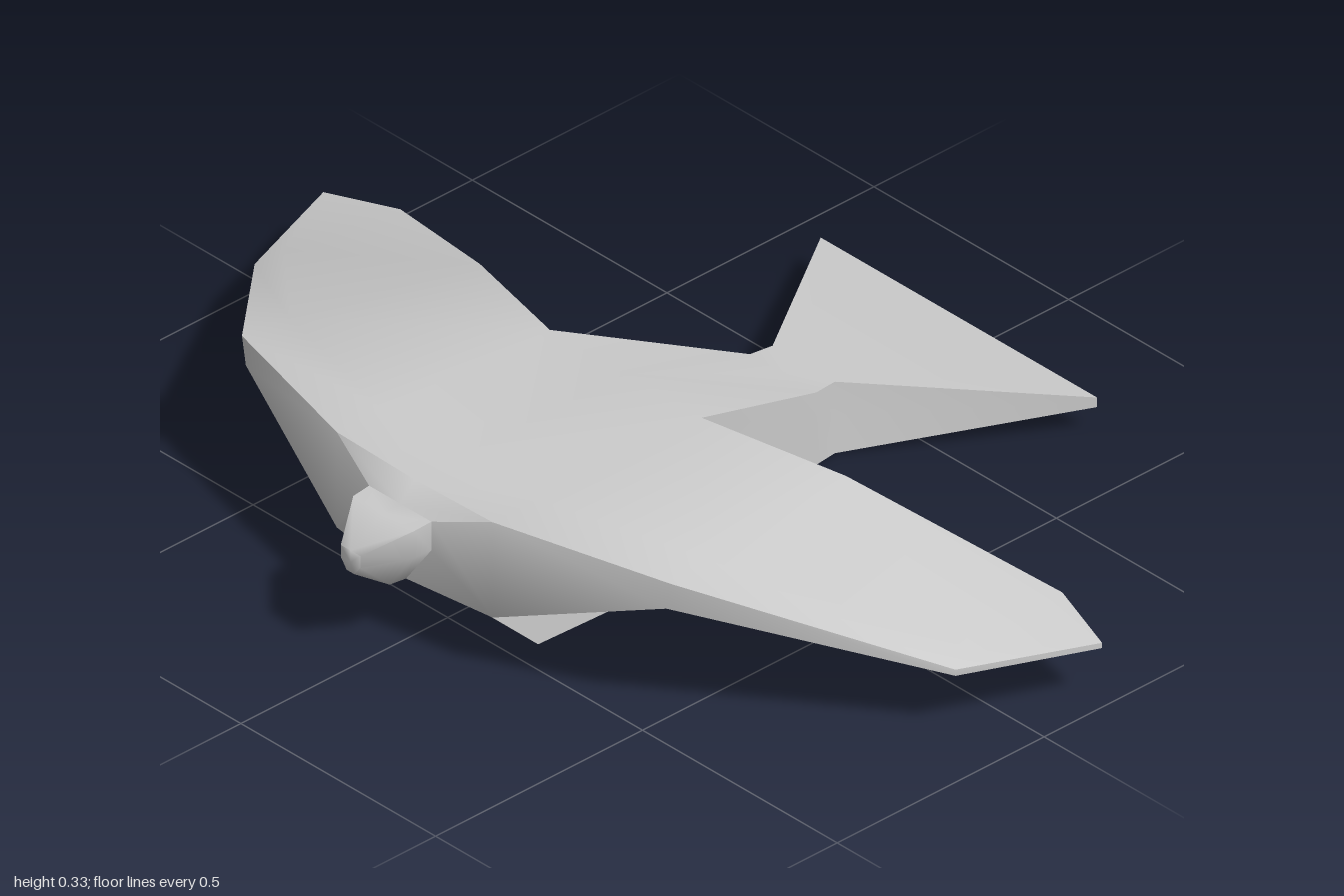
import * as THREE from 'three';
import { mergeGeometries, toCreasedNormals } from 'three/addons/utils/BufferGeometryUtils.js';

// Skin between successive cross-sections; skip(i, j) leaves a panel open
function loft(sections, { closed = false, skip = () => false } = {}) {
  const out = [];
  const tri = (a, b, c) => {
    const t = new THREE.Triangle(...[a, b, c].map(p => new THREE.Vector3(...p)));
    if (t.getArea() > 1e-7) out.push([a, b, c]);
  };
  for (let i = 0; i < sections.length - 1; i++) {
    const s = sections[i], t = sections[i + 1], n = s.length;
    for (let j = 0; j < (closed ? n : n - 1); j++) {
      if (skip(i, j)) continue;
      const k = (j + 1) % n;
      tri(s[j], s[k], t[k]);
      tri(s[j], t[k], t[j]);
    }
  }
  return out;
}

const mirror = tris => tris.map(([a, b, c]) => [a, c, b].map(([x, y, z]) => [-x, y, z]));

function toGeometry(tris) {
  const g = new THREE.BufferGeometry();
  g.setAttribute('position', new THREE.Float32BufferAttribute(tris.flat(2), 3));
  return g;
}

// Half cross-section of the body: top centre, shoulder, flank, belly edge, belly centre
const half = (z, topMid, top, w, mid, bot, wb = w) =>
  [[0, topMid, z], [w, top, z], [w, mid, z], [wb, bot, z], [0, bot, z]];
const point = (y, z) => Array.from({ length: 5 }, () => [0, y, z]);

export function createModel() {
  const neck = half(0.615, 0.29, 0.29, 0.08, 0.23, 0.14, 0.015);
  const rump = half(-0.36, 0.15, 0.15, 0.08, 0.08, 0);

  const chest = [
    half(0.58, 0.325, 0.33, 0.2, 0.13, 0.13),
    half(0.47, 0.325, 0.33, 0.2, 0.13, 0.025),
    half(0.07, 0.32, 0.32, 0.195, 0.13, 0.005),
  ];

  // Head with a short blunt beak
  const headHalf = loft([
    point(0.22, 0.735),
    half(0.735, 0.245, 0.245, 0.025, 0.22, 0.2, 0.01),
    half(0.655, 0.287, 0.287, 0.078, 0.23, 0.145, 0.015),
    neck,
  ]);

  // Body, open on its flanks where the wings join
  const bodyHalf = loft(
    [neck, ...chest, half(-0.31, 0.152, 0.152, 0.085, 0.08, 0), rump],
    { skip: (i, j) => j === 1 && (i === 1 || i === 2) },
  );

  // Fanned tail
  const tailHalf = loft([
    rump,
    half(-0.735, 0.08, 0.08, 0.355, 0.07, 0.06).map((p, i) => (i === 4 ? [0, 0.045, -0.735] : p)),
    point(0.065, -0.735),
  ]);

  // Wing: closed rings from root to tip, underside front to back, then top back to front
  const wing = loft([
    [...chest.map(s => s[2]), ...chest.map(s => s[1]).reverse()],
    [[0.54, 0.265, 0.48], [0.53, 0.272, 0.38], [0.47, 0.26, -0.02],
      [0.47, 0.288, -0.02], [0.53, 0.322, 0.38], [0.55, 0.322, 0.48]],
    [[0.9, 0.134, 0.12], [0.89, 0.136, 0.06], [0.85, 0.136, -0.185],
      [0.85, 0.15, -0.185], [0.89, 0.155, 0.06], [0.9, 0.147, 0.12]],
    [...Array(3).fill([1, 0.124, -0.14]), ...Array(3).fill([1, 0.135, -0.14])],
  ], { closed: true });

  const both = tris => [...tris, ...mirror(tris)];
  const parts = {
    head: both(headHalf),
    body: both(bodyHalf),
    tail: both(tailHalf),
    leftWing: wing,
    rightWing: mirror(wing),
  };

  // Shade all parts together so the joins stay smooth, then split them again
  const whole = toCreasedNormals(mergeGeometries(Object.values(parts).map(toGeometry)), 1.1);
  const normals = whole.getAttribute('normal').array;
  const material = new THREE.MeshStandardMaterial({ color: 0xcccccc });
  const bird = new THREE.Group();
  bird.name = 'bird';
  let start = 0;
  for (const [name, tris] of Object.entries(parts)) {
    const geometry = toGeometry(tris);
    const end = start + tris.length * 9;
    geometry.setAttribute('normal', new THREE.Float32BufferAttribute(normals.slice(start, end), 3));
    start = end;
    const mesh = new THREE.Mesh(geometry, material);
    mesh.name = name;
    bird.add(mesh);
  }
  return bird;
}
